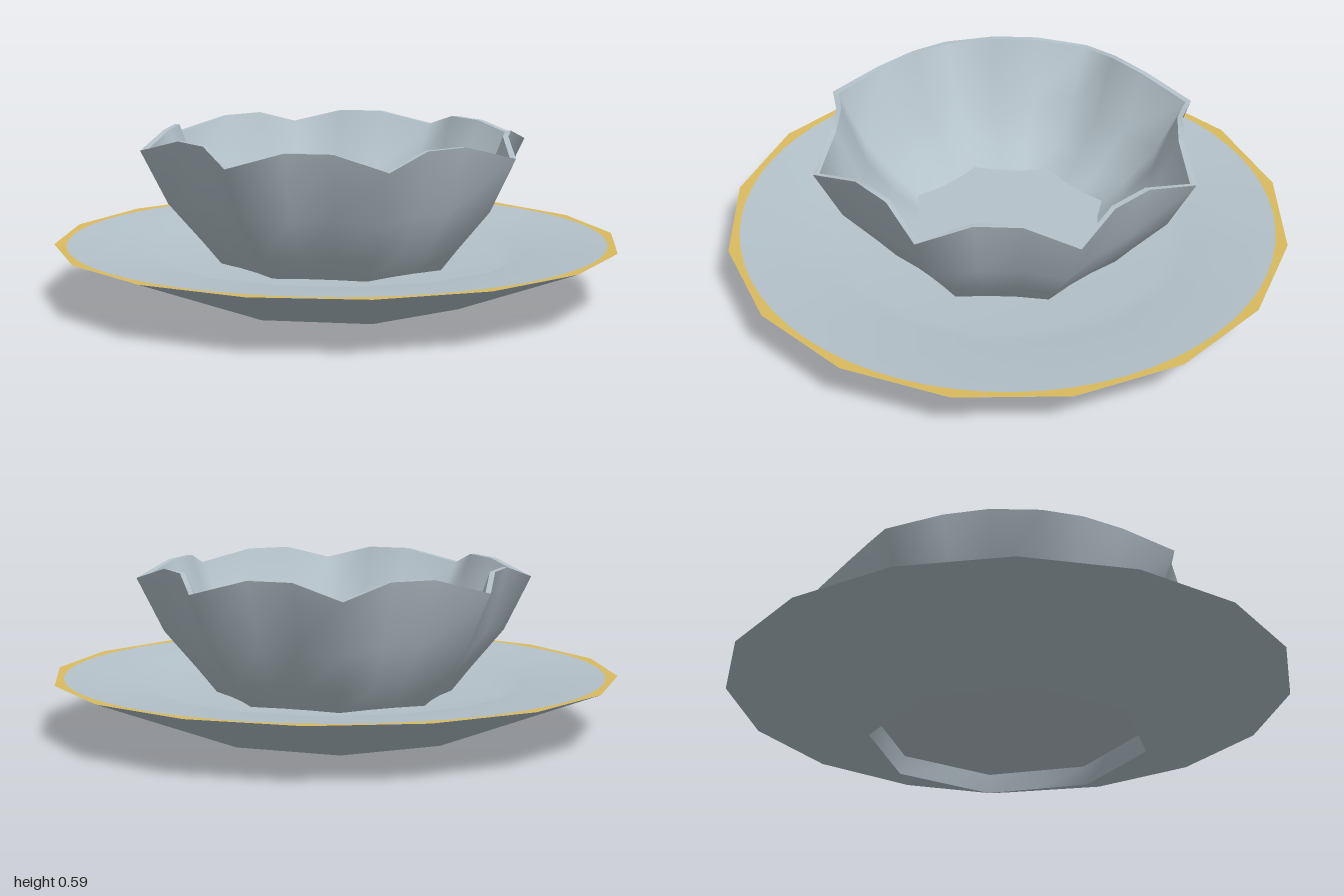
import * as THREE from 'three';

const TAU = Math.PI * 2;
const TWIST = THREE.MathUtils.degToRad(15);

// Smooth skin over equal-sized rings; rings climb the outside and descend the inside
function loft(rings) {
  const n = rings[0].length, index = [];
  for (let i = 0; i < rings.length - 1; i++) {
    for (let k = 0; k < n; k++) {
      const a = i * n + k, b = i * n + (k + 1) % n;
      index.push(a, a + n, b, b, a + n, b + n);
    }
  }
  const g = new THREE.BufferGeometry();
  g.setAttribute('position', new THREE.Float32BufferAttribute(rings.flat(2), 3));
  g.setIndex(index);
  g.computeVertexNormals();
  return g;
}

// Ring of n points; radius and height come from rule(k) = [r, y]
function ring(n, start, rule) {
  return Array.from({ length: n }, (_, k) => {
    const a = start + k / n * TAU, [r, y] = rule(k);
    return [r * Math.cos(a), y, r * Math.sin(a)];
  });
}

// Distance to the straight side of a regular polygon; t runs from corner to corner
const side = (sides, r, t) => r * Math.cos(Math.PI / sides) / Math.cos((t - 0.5) * TAU / sides);

// Sixteen-sided saucer ring
const saucerRing = (r, y) => ring(16, 0, () => [r, y]);

// Octagonal foot with sixteen points so that it joins the rim
const footRing = (r, y) => ring(16, TWIST - TAU / 16, k => [side(8, r, k % 2 ? 0 : 0.5), y]);

// Bowl ring: eight points that may dip, with the sides between them dented inwards
const bowlRing = (r, y, dent, dip) => ring(24, TWIST, k =>
  k % 3 ? [side(8, r, (k % 3) / 3) - dent, y] : [r, y - dip]);

export function createModel() {
  const porcelain = new THREE.MeshStandardMaterial({ color: 0xb4c2ca });
  porcelain.name = 'porcelain';
  const gold = new THREE.MeshStandardMaterial({ color: 0xdabb5e });
  gold.name = 'gold';

  const model = new THREE.Group();
  model.name = 'bowlOnSaucer';
  const add = (name, rings, material = porcelain) => {
    const mesh = new THREE.Mesh(loft(rings), material);
    mesh.name = name;
    model.add(mesh);
  };

  // Saucer: recessed octagonal foot, flared underside, shallow dish with a sunken well
  add('footRecess', [footRing(0, 0.065), footRing(0.47, 0.065)]);
  add('footWall', [footRing(0.47, 0.065), footRing(0.49, 0)]);
  add('saucerUnderside', [footRing(0.49, 0), saucerRing(1, 0.2)]);
  add('saucerDish', [
    saucerRing(1, 0.2), saucerRing(0.67, 0.168),
    saucerRing(0.59, 0.13), saucerRing(0, 0.13),
  ]);

  // Gilded edge: thin band with a round inner border and a sixteen-sided outer one
  add('gildedRim', [
    ring(64, 0, k => [side(16, 1, (k % 4) / 4), 0.2005]),
    ring(64, 0, () => [0.957, 0.1995]),
  ], gold);

  // Bowl: outer wall, thin lip, inner wall and floor
  const lipOuter = bowlRing(0.7, 0.59, 0.038, 0.05);
  const lipInner = bowlRing(0.677, 0.59, 0.036, 0.05);
  const floorEdge = bowlRing(0.365, 0.18, 0.015, 0);
  add('bowlOuterWall', [
    bowlRing(0.35, 0.07, 0.005, 0), bowlRing(0.42, 0.13, 0.01, 0),
    bowlRing(0.485, 0.21, 0.013, 0), bowlRing(0.605, 0.36, 0.024, 0.01), lipOuter,
  ]);
  add('bowlLip', [lipOuter, lipInner]);
  add('bowlInnerWall', [
    lipInner, bowlRing(0.575, 0.37, 0.024, 0.01), bowlRing(0.455, 0.245, 0.018, 0), floorEdge,
  ]);
  add('bowlFloor', [floorEdge, bowlRing(0, 0.18, 0, 0)]);

  return model;
}
